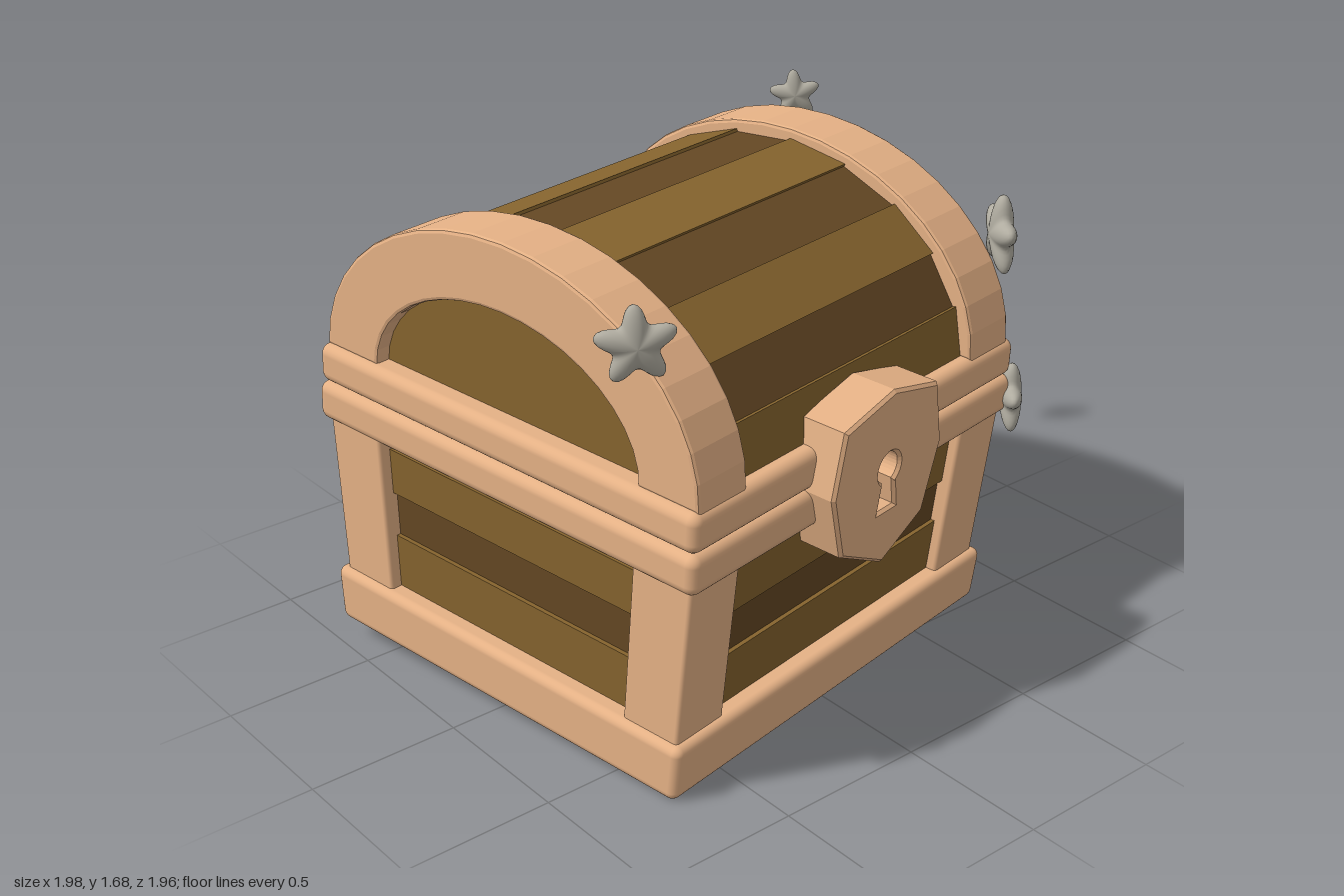
import * as THREE from 'three';
import { RoundedBoxGeometry } from 'three/addons/geometries/RoundedBoxGeometry.js';

const paint = (color, flatShading = false) => new THREE.MeshStandardMaterial({ color, flatShading });

export function createModel() {
  const model = new THREE.Group();
  const chest = new THREE.Group();
  chest.name = 'chest';
  const trim = paint(0xe6b286);
  const woods = [paint(0x86642e, true), paint(0x654824, true)];
  const dark = paint(0x4a382c);
  const steel = paint(0xb0aca0);

  const add = (parent, name, geometry, material) => {
    const mesh = new THREE.Mesh(geometry, material);
    mesh.name = name;
    parent.add(mesh);
    return mesh;
  };

  // The box narrows toward its foot, more in depth than in width
  const taper = (geometry) => {
    const p = geometry.attributes.position;
    for (let i = 0; i < p.count; i++) {
      const drop = Math.max(0, 0.75 - p.getY(i));
      p.setX(i, p.getX(i) * (1 - 0.025 * drop));
      p.setZ(i, p.getZ(i) * (1 - 0.1 * drop));
    }
    return geometry;
  };
  const slab = (w, d, y0, y1, r) =>
    new RoundedBoxGeometry(w, y1 - y0, d, 3, r).translate(0, (y0 + y1) / 2, 0);

  // Base and the two rim bands
  add(chest, 'base', taper(slab(1.6, 1.57, 0, 0.195, 0.03)), trim);
  add(chest, 'lowerRim', slab(1.6, 1.56, 0.735, 0.867, 0.035), trim);
  add(chest, 'upperRim', slab(1.59, 1.55, 0.867, 0.997, 0.035), trim);

  // Corner posts
  for (const sx of [-1, 1]) {
    for (const sz of [-1, 1]) {
      const post = slab(0.215, 0.225, 0.15, 0.78, 0.014).translate(sx * 0.666, 0, sz * 0.642);
      add(chest, 'cornerPost', taper(post), trim);
    }
  }

  // Rows of body planks, alternately proud and set back
  const rows = [0.15, 0.38, 0.535, 0.69, 0.78];
  for (let i = 0; i < 4; i++) {
    const inset = i % 2 ? 0.055 : 0.04;
    const row = new THREE.BoxGeometry(2 * (0.773 - inset), rows[i + 1] - rows[i], 2 * (0.755 - inset));
    row.translate(0, (rows[i] + rows[i + 1]) / 2, 0);
    add(chest, 'bodyPlanks', taper(row), woods[i % 2]);
  }

  // Extrudes a profile drawn in depth and height along the width of the chest
  const SPRING = 0.99;
  const acrossWidth = (shape, width, bevel = 0) => {
    const g = new THREE.ExtrudeGeometry(shape, {
      depth: width - 2 * bevel, bevelEnabled: bevel > 0, bevelThickness: bevel,
      bevelSize: bevel, bevelOffset: -bevel, bevelSegments: 2, curveSegments: 24,
    });
    return g.translate(0, 0, -width / 2 + bevel).rotateY(-Math.PI / 2).translate(0, SPRING, 0);
  };
  const arc = (rz, ry, n) => Array.from({ length: n + 1 }, (_, i) => {
    const a = (i / n) * Math.PI;
    return new THREE.Vector2(rz * Math.cos(a), ry * Math.sin(a));
  });

  // Lid planks around the curve
  const ring = arc(0.722, 0.54, 10);
  for (let i = 0; i < 10; i++) {
    const k = i % 2 ? 0.982 : 1;
    const wedge = new THREE.Shape([
      new THREE.Vector2(0, 0),
      ring[i].clone().multiplyScalar(k),
      ring[i + 1].clone().multiplyScalar(k),
    ]);
    add(chest, 'lidPlank', acrossWidth(wedge, 1.4), woods[i % 2]);
  }
  add(chest, 'lidEndPanels', acrossWidth(new THREE.Shape(arc(0.62, 0.46, 20)), 1.43), woods[0]);

  // Arched bands at both ends of the lid
  const outer = arc(0.76, 0.572, 20);
  const inner = arc(0.535, 0.355, 20).reverse();
  const archShape = new THREE.Shape([...outer, ...inner]);
  for (const side of [-1, 1]) {
    const arch = acrossWidth(archShape, 0.21, 0.012).translate(side * 0.66, 0, 0);
    add(chest, 'lidArch', arch, trim);
  }

  // Lock plate with a keyhole
  const lock = new THREE.Group();
  lock.name = 'lock';
  const plate = new THREE.Shape([
    [0, 0.275], [-0.235, 0.22], [-0.275, 0.01], [-0.215, -0.205],
    [0, -0.315], [0.2, -0.215], [0.27, 0.01], [0.225, 0.22],
  ].map(([x, y]) => new THREE.Vector2(x, y)));
  const keyhole = new THREE.Path();
  keyhole.moveTo(-0.042, -0.125);
  keyhole.lineTo(0.042, -0.125);
  keyhole.lineTo(0.024, -0.03);
  keyhole.absarc(0, 0.015, 0.051, -1.08, Math.PI + 1.08, false);
  keyhole.closePath();
  plate.holes.push(keyhole);
  const plateGeometry = new THREE.ExtrudeGeometry(plate, {
    depth: 0.15, bevelThickness: 0.01, bevelSize: 0.01, bevelOffset: -0.01, bevelSegments: 1,
  });
  add(lock, 'lockPlate', plateGeometry, trim);
  add(lock, 'keyholeBack', new THREE.BoxGeometry(0.16, 0.24, 0.02), dark).position.set(0, -0.03, 0.085);
  lock.position.set(0, 0.855, 0.70);
  chest.add(lock);

  // The chest leans forward slightly and is turned to its left
  chest.rotation.set(0.05, 0.175, 0, 'YXZ');
  chest.position.set(-0.078, 0.038, -0.108);
  model.add(chest);

  // Puffy five-pointed stars floating around the chest
  const starGeometry = new THREE.SphereGeometry(1, 60, 14).rotateX(Math.PI / 2);
  const p = starGeometry.attributes.position;
  for (let i = 0; i < p.count; i++) {
    const x = p.getX(i), y = p.getY(i);
    const a = Math.atan2(x, y);
    const reach = 0.58 + 0.42 * Math.pow((1 + Math.cos(5 * a)) / 2, 1.25);
    p.setXYZ(i, x * reach, y * reach, p.getZ(i) * 0.3);
  }
  starGeometry.computeVertexNormals();
  const stars = [
    [-0.75, 1.45, 0.63, 0.12, -0.5, 0.05],
    [0.385, 1.565, 0.885, 0.12, 1.0, 0.06],
    [0.925, 1.51, -0.6, 0.09, -0.67, 0.1],
    [0.86, 0.78, 0.545, 0.12, 0.87, 0.1],
  ];
  for (const [x, y, z, size, turn, roll] of stars) {
    const star = add(model, 'star', starGeometry, steel);
    star.position.set(x, y, z);
    star.scale.setScalar(size);
    star.rotation.set(0, turn, roll, 'YXZ');
  }
  return model;
}
